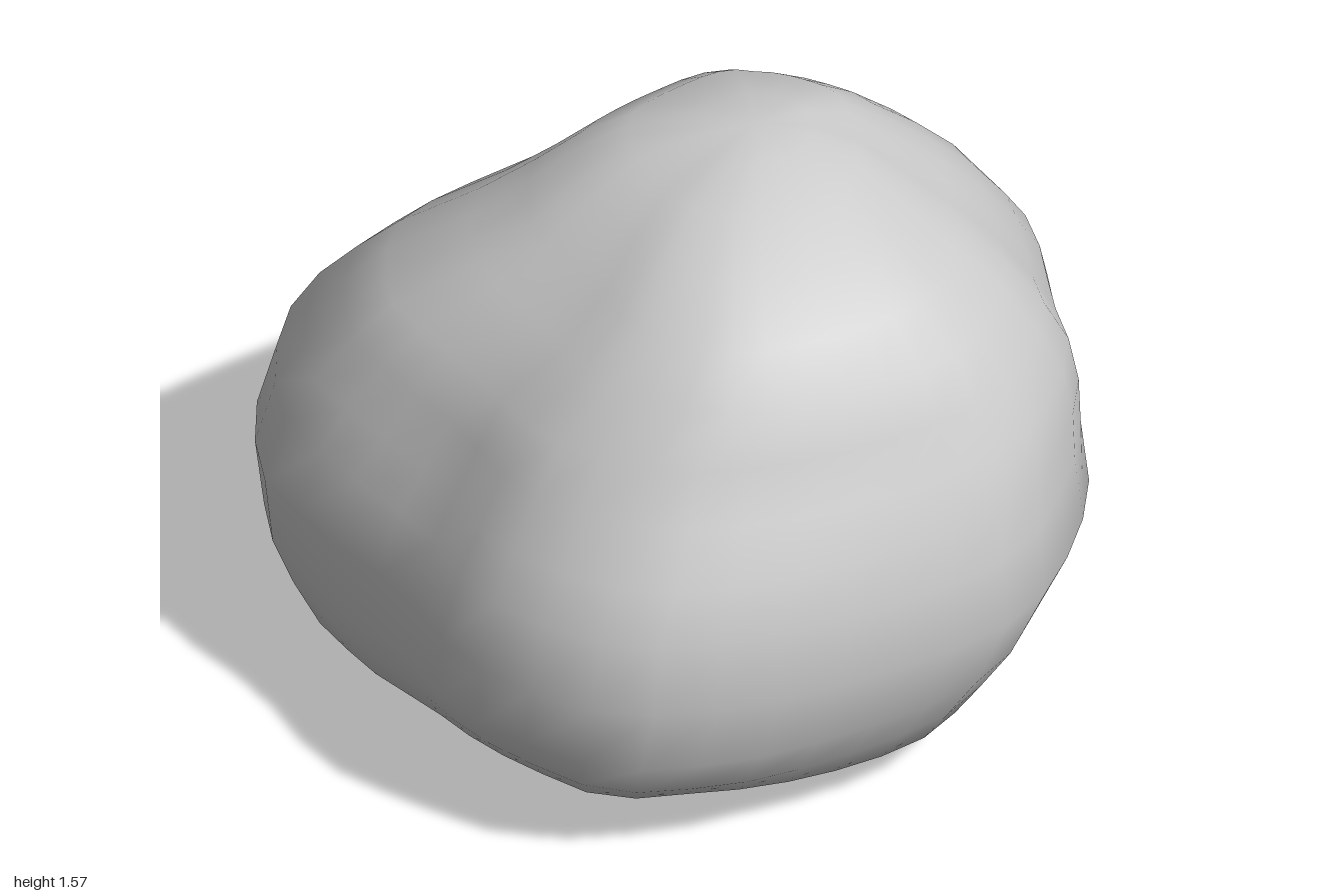
import * as THREE from 'three';

// Widest outline of the boulder, [x, z], running from the back round by the left.
const OUTLINE = [
  [0, -0.98], [0.18, -0.94], [0.37, -0.91], [0.55, -0.83], [0.71, -0.75], [0.85, -0.62], [0.93, -0.45],
  [0.97, -0.05], [1, 0.15], [0.95, 0.35], [0.87, 0.55], [0.74, 0.7], [0.6, 0.78], [0.4, 0.87], [0.2, 0.94],
  [0, 0.97], [-0.21, 0.97], [-0.55, 0.77], [-0.65, 0.63], [-0.73, 0.45], [-0.85, 0.25], [-0.92, 0.12],
  [-1, -0.05], [-0.95, -0.47], [-0.8, -0.61], [-0.62, -0.73], [-0.5, -0.8], [-0.2, -0.95],
];

// Reach of each level: [y, xMin, xMax, zMin, zMax].
const LEVELS = [
  [0.02, -0.3, 0.27, -0.1, 0.22],
  [0.0, -0.58, 0.55, -0.22, 0.42],
  [0.07, -0.74, 0.68, -0.48, 0.62],
  [0.15, -0.87, 0.76, -0.72, 0.82],
  [0.24, -0.93, 0.83, -0.87, 0.88],
  [0.36, -0.98, 0.91, -0.96, 0.94],
  [0.56, -1, 1, -0.975, 0.98],
  [0.74, -0.95, 0.98, -0.95, 0.95],
  [0.87, -0.88, 0.975, -0.88, 0.9],
  [1.0, -0.79, 0.95, -0.76, 0.82],
  [1.12, -0.69, 0.89, -0.65, 0.75],
  [1.25, -0.49, 0.8, -0.56, 0.69],
  [1.35, -0.35, 0.69, -0.49, 0.58],
  [1.44, -0.23, 0.56, -0.42, 0.43],
  [1.51, -0.1, 0.45, -0.33, 0.26],
  [1.555, 0.06, 0.34, -0.18, 0.1],
];

// Soft hollows: [x, y, z, radius, depth].
const HOLLOWS = [
  [-0.58, 0.75, 0.5, 0.32, 0.06],
  [-0.45, 0.08, 0.6, 0.3, 0.07],
  [-0.5, 0.15, -0.5, 0.35, 0.08],
];

const SEGMENTS = 40;
const CORE = new THREE.Vector3(0, 0.6, 0);

function weather(p) {
  // Shallow groove between the two feet
  p.y += 0.075 * Math.exp(-((p.x / 0.25) ** 2)) * Math.max(0, 1 - p.y / 0.25);
  for (const [x, y, z, radius, depth] of HOLLOWS) {
    const d = p.distanceTo(new THREE.Vector3(x, y, z)) / radius;
    const inward = CORE.clone().sub(p).normalize();
    p.addScaledVector(inward, depth * Math.exp(-d * d));
  }
  return p;
}

function boulderGeometry() {
  const curve = new THREE.CatmullRomCurve3(OUTLINE.map(([x, z]) => new THREE.Vector3(x, 0, z / 0.975)), true);
  const outline = curve.getSpacedPoints(SEGMENTS).slice(0, SEGMENTS);
  const positions = [];
  const indices = [];

  // Stacked rings
  for (const [y, x0, x1, z0, z1] of LEVELS) {
    for (const o of outline) {
      const x = (x0 + x1) / 2 + (o.x * (x1 - x0)) / 2;
      const z = (z0 + z1) / 2 + (o.z * (z1 - z0)) / 2;
      positions.push(...weather(new THREE.Vector3(x, y, z)).toArray());
    }
  }
  // Centres of the underside and the crown
  const bottom = positions.length / 3;
  const top = bottom + 1;
  positions.push(0, 0.09, 0.06, 0.2, 1.57, -0.04);

  const last = (LEVELS.length - 1) * SEGMENTS;
  for (let i = 0; i < SEGMENTS; i++) {
    const n = (i + 1) % SEGMENTS;
    indices.push(bottom, i, n, top, last + n, last + i);
    for (let r = 0; r < last; r += SEGMENTS) {
      const a = r + i, b = r + n, c = a + SEGMENTS, d = b + SEGMENTS;
      indices.push(a, c, b, b, c, d);
    }
  }
  const geometry = new THREE.BufferGeometry();
  geometry.setAttribute('position', new THREE.Float32BufferAttribute(positions, 3));
  geometry.setIndex(indices);
  geometry.computeVertexNormals();
  return geometry;
}

export function createModel() {
  const group = new THREE.Group();
  const boulder = new THREE.Mesh(boulderGeometry(), new THREE.MeshStandardMaterial({ color: 0xcccccc }));
  boulder.name = 'boulder';
  group.add(boulder);
  return group;
}
